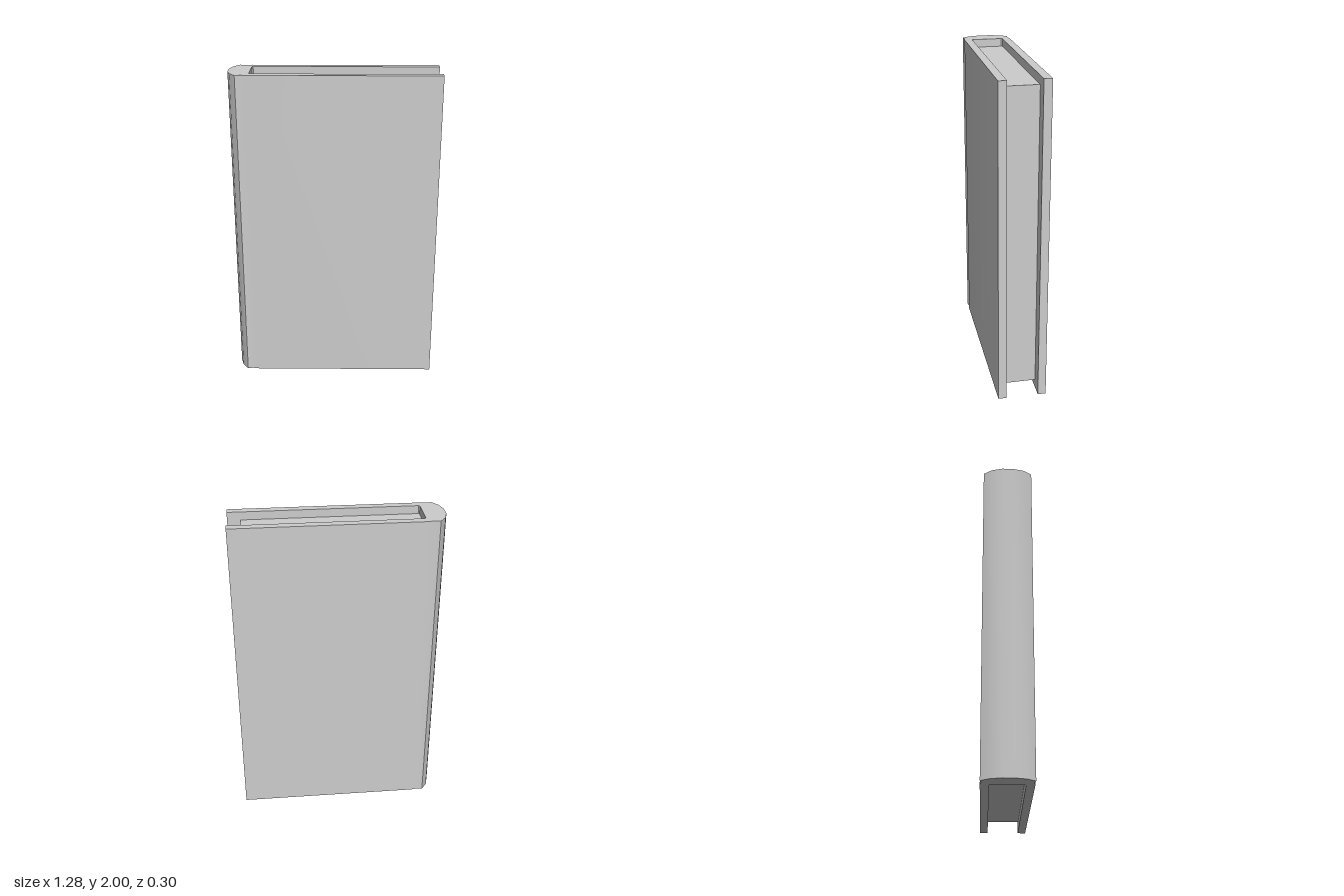
import * as THREE from 'three';
import { toCreasedNormals } from 'three/addons/utils/BufferGeometryUtils.js';

const HEIGHT = 2;

export function createModel() {
  const group = new THREE.Group();
  group.name = 'book';
  const material = new THREE.MeshStandardMaterial({ color: 0xcccccc });

  const add = (name, geometry) => {
    const mesh = new THREE.Mesh(geometry, material);
    mesh.name = name;
    group.add(mesh);
    return mesh;
  };

  // Half of the cover's cross-section: rounded spine, hinge groove, board, inner face
  const half = [
    [-0.64, 0.035], [-0.622, 0.1], [-0.585, 0.15], [-0.553, 0.143], [-0.51, 0.15],
    [0.64, 0.15], [0.64, 0.1], [-0.5, 0.1], [-0.507, 0.093],
  ];
  const mirrored = half.map(([x, z]) => [x, -z]).reverse();
  const outline = [...half, ...mirrored].map(([x, z]) => new THREE.Vector2(x, z));

  // Cover: both boards and the spine in one piece, extruded upwards
  const cover = new THREE.ExtrudeGeometry(new THREE.Shape(outline), {
    depth: HEIGHT, bevelEnabled: false,
  });
  cover.rotateX(-Math.PI / 2);
  add('cover', toCreasedNormals(cover, 0.5));

  // Page block: recessed on three sides, its other faces set into the cover
  const left = -0.52, right = 0.56;
  add('pages', new THREE.BoxGeometry(right - left, 1.895, 0.21))
    .position.set((left + right) / 2, HEIGHT / 2 + 0.0025, 0);

  return group;
}
